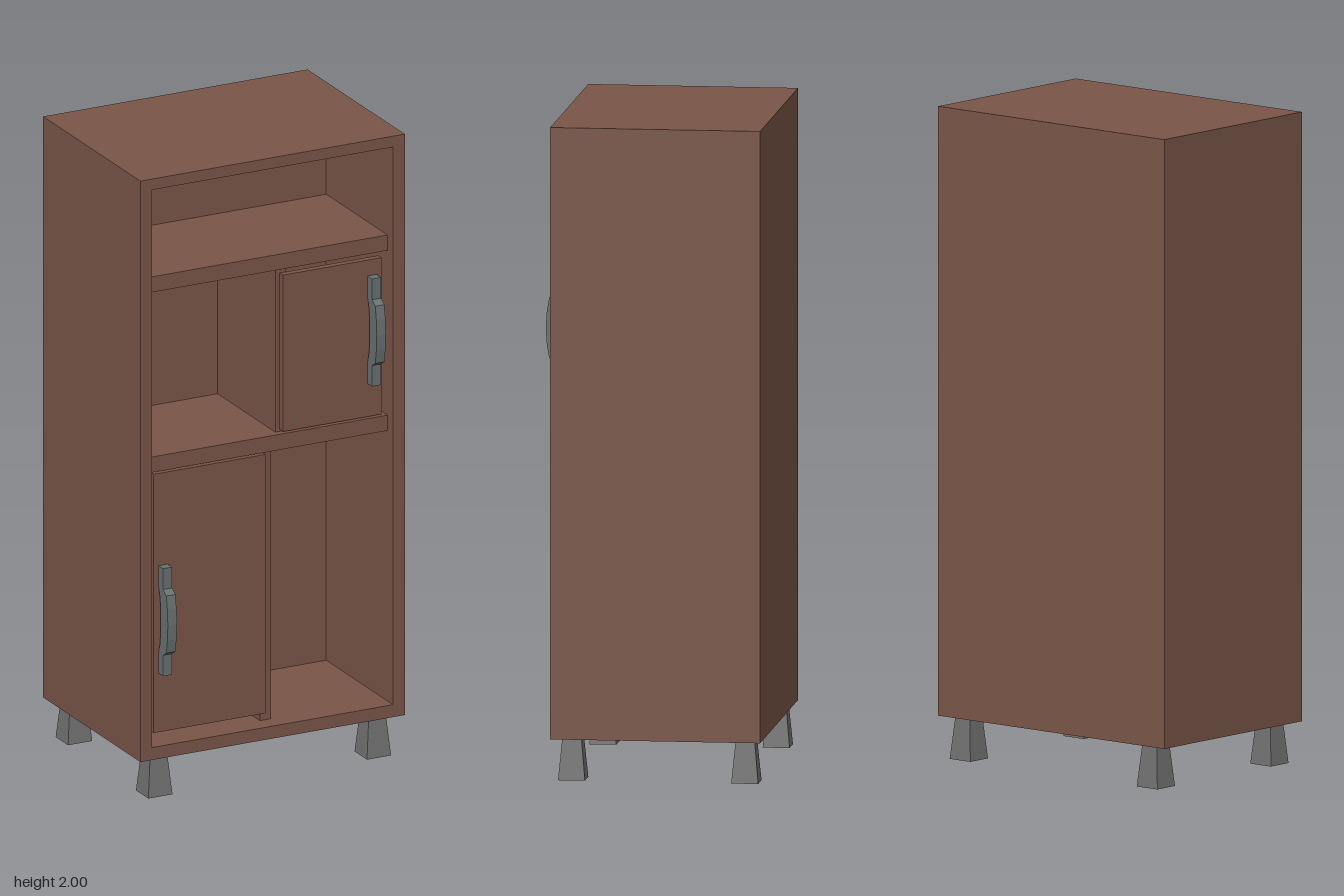
import * as THREE from 'three';

export function createModel() {
  const model = new THREE.Group();
  model.name = 'cabinet';

  const wood = new THREE.MeshStandardMaterial({ color: 0x795548 });
  wood.name = 'brown wood';
  const legMetal = new THREE.MeshStandardMaterial({ color: 0x707070 });
  legMetal.name = 'grey leg';
  const handleMetal = new THREE.MeshStandardMaterial({ color: 0x697070 });
  handleMetal.name = 'cool grey handle';

  // Wooden board given by its extents on each axis
  function board(name, [x0, x1], [y0, y1], [z0, z1]) {
    const mesh = new THREE.Mesh(new THREE.BoxGeometry(x1 - x0, y1 - y0, z1 - z0), wood);
    mesh.position.set((x0 + x1) / 2, (y0 + y1) / 2, (z0 + z1) / 2);
    mesh.name = name;
    model.add(mesh);
  }

  // Carcass: outer frame around a recessed interior
  const depth = [-0.33, 0.31];
  board('rightSide', [-0.45, -0.41], [0.13, 2], depth);
  board('leftSide', [0.41, 0.45], [0.13, 2], depth);
  board('topPanel', [-0.41, 0.41], [1.965, 2], depth);
  board('bottomPanel', [-0.41, 0.41], [0.13, 0.17], depth);
  board('backBlock', [-0.41, 0.41], [0.17, 1.965], [-0.33, -0.13]);

  // Shelves and dividers
  board('upperShelf', [-0.41, 0.41], [1.62, 1.67], [-0.13, 0.273]);
  board('middleShelf', [-0.41, 0.41], [1.04, 1.09], [-0.13, 0.273]);
  board('upperDivider', [0.04, 0.075], [1.09, 1.62], [-0.13, 0.25]);
  board('lowerDivider', [-0.012, 0.025], [0.17, 1.04], [-0.13, 0.25]);

  // Doors
  board('upperDoor', [0.055, 0.39], [1.096, 1.6], [0.25, 0.272]);
  board('lowerDoor', [-0.385, -0.005], [0.2, 1.033], [0.25, 0.272]);

  // Bowed handle with flat mounting feet, profile in (z, y)
  const half = [
    [0.272, 0.173], [0.302, 0.173], [0.302, 0.106], [0.323, 0.092], [0.33, 0.05],
  ];
  const inner = [[0.285, 0.04], [0.281, 0.075], [0.272, 0.106]];
  const mirrored = (points) => points.map(([z, y]) => [z, -y]).reverse();
  const outline = [
    ...half, [0.333, 0], ...mirrored(half),
    ...mirrored(inner), [0.286, 0], ...inner,
  ];
  const handleShape = new THREE.Shape(outline.map(([z, y]) => new THREE.Vector2(z, y)));
  const handleWidth = 0.031;
  const handleGeometry = new THREE.ExtrudeGeometry(handleShape, {
    depth: handleWidth, bevelEnabled: false,
  });
  handleGeometry.translate(0, 0, -handleWidth / 2);
  handleGeometry.rotateY(-Math.PI / 2); // profile z now points forward

  for (const [name, x, y] of [['upperHandle', 0.358, 1.376], ['lowerHandle', -0.353, 0.563]]) {
    const handle = new THREE.Mesh(handleGeometry, handleMetal);
    handle.position.set(x, y, 0);
    handle.name = name;
    model.add(handle);
  }

  // Square legs that flare towards the floor
  const legGeometry = new THREE.CylinderGeometry(
    0.029 * Math.SQRT2, 0.041 * Math.SQRT2, 0.13, 4, 1,
  ).rotateY(Math.PI / 4).toNonIndexed();
  legGeometry.computeVertexNormals();
  for (const x of [-0.372, 0.372]) {
    for (const z of [0.25, -0.278]) {
      const leg = new THREE.Mesh(legGeometry, legMetal);
      leg.position.set(x, 0.065, z);
      leg.name = (z > 0 ? 'front' : 'back') + (x > 0 ? 'Left' : 'Right') + 'Leg';
      model.add(leg);
    }
  }

  return model;
}
